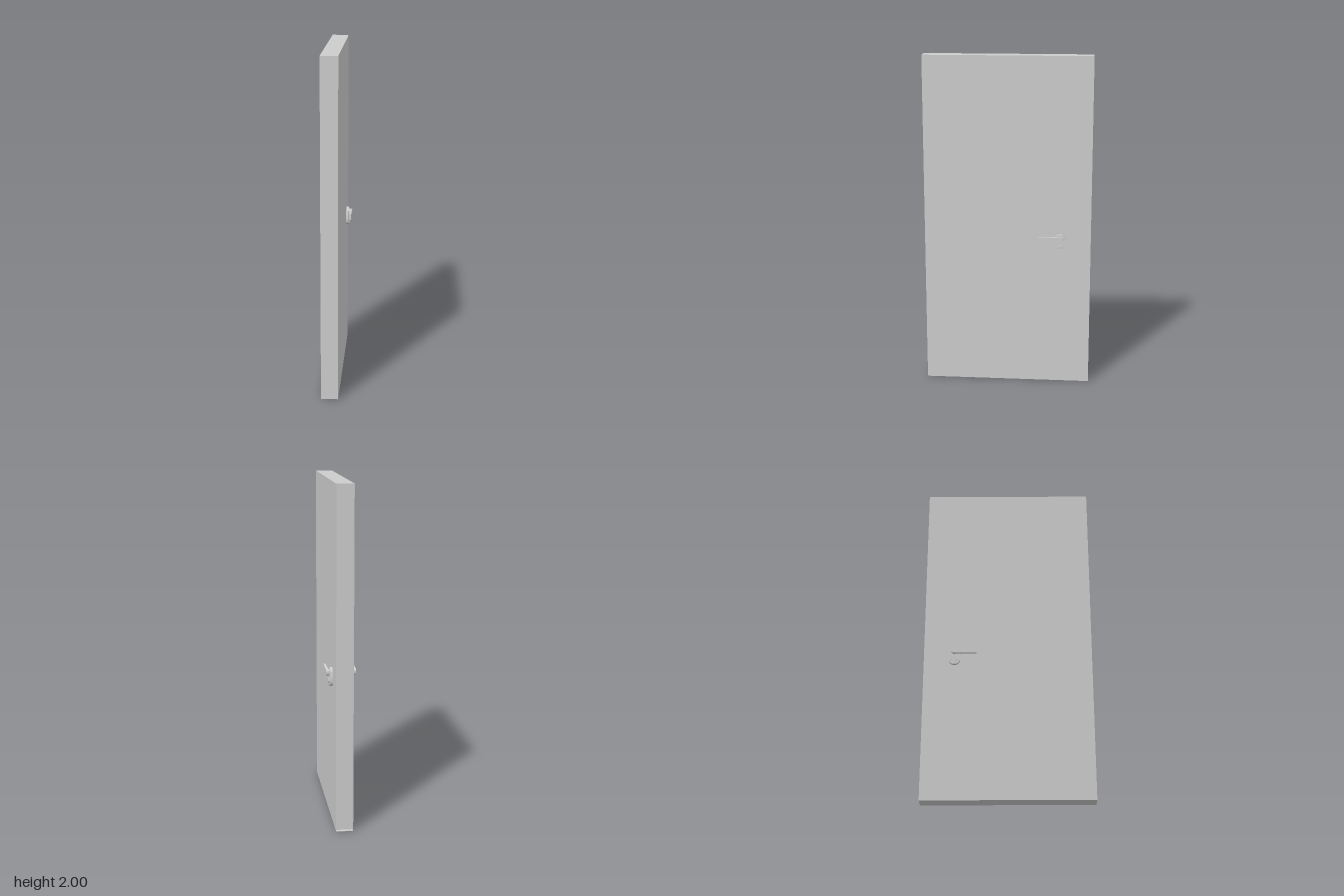
import * as THREE from 'three';
import { toCreasedNormals } from 'three/addons/utils/BufferGeometryUtils.js';

const material = new THREE.MeshStandardMaterial({ color: 0xcccccc });

// Door slab: rectangular loops from the front edge, round the thin rear lip, into the recessed rear edge
function doorGeometry() {
  const loops = [
    [0.05, 1, 0.5],
    [0.05, 1, -0.5],
    [0.048, 0.998, -0.5],
    [0.048, 0.998, -0.48],
  ];
  const positions = [];
  const index = [];
  for (const [w, h, z] of loops) {
    positions.push(-w, 1 - h, z, w, 1 - h, z, w, 1 + h, z, -w, 1 + h, z);
  }
  for (let i = 0; i < loops.length - 1; i++) {
    for (let j = 0; j < 4; j++) {
      const a = i * 4 + j, b = i * 4 + (j + 1) % 4;
      index.push(a, a + 4, b, b, a + 4, b + 4);
    }
  }
  const e = (loops.length - 1) * 4;
  index.push(0, 1, 2, 0, 2, 3, e, e + 2, e + 1, e, e + 3, e + 2);
  const g = new THREE.BufferGeometry();
  g.setAttribute('position', new THREE.Float32BufferAttribute(positions, 3));
  g.setIndex(index);
  const flat = g.toNonIndexed();
  flat.computeVertexNormals();
  return flat;
}

// Vertical rounded slot outline centred on x = 0
function stadium(radius, top, bottom) {
  const s = new THREE.Shape();
  s.absarc(0, top, radius, 0, Math.PI, false);
  s.absarc(0, bottom, radius, Math.PI, Math.PI * 2, false);
  s.closePath();
  return s;
}

// Outline drawn on the door face, extruded outwards from x = from to x = to
function plate(name, shape, from, to, side) {
  const g = new THREE.ExtrudeGeometry(shape, { depth: to - from, bevelEnabled: false, curveSegments: 24 });
  g.translate(0, 0, from);
  g.rotateY(side * Math.PI / 2);
  const mesh = new THREE.Mesh(toCreasedNormals(g, 0.6), material);
  mesh.name = name;
  return mesh;
}

function createHandle(side) {
  const group = new THREE.Group();
  group.name = side > 0 ? 'leftHandle' : 'rightHandle';

  const neck = new THREE.Shape().absarc(0, 0, 0.018, 0, Math.PI * 2, false);

  // Lever: round at the spindle, square at the grip end
  const d = -side;
  const lever = new THREE.Shape();
  lever.moveTo(d * 0.131, -0.019);
  lever.lineTo(d * 0.131, 0.019);
  lever.lineTo(0, 0.019);
  lever.absarc(0, 0, 0.019, Math.PI / 2, -Math.PI / 2, d > 0 ? false : true);
  lever.closePath();

  // Lock cylinder: round barrel with a narrow foot and a key slot
  const lock = new THREE.Shape();
  lock.absarc(0, -0.048, 0.016, -Math.PI * 0.33, Math.PI * 1.33, false);
  lock.lineTo(-0.008, -0.072);
  lock.absarc(0, -0.072, 0.008, Math.PI, Math.PI * 2, false);
  lock.closePath();
  const slot = new THREE.Path();
  slot.moveTo(-0.002, -0.056);
  slot.lineTo(-0.002, -0.04);
  slot.lineTo(0.002, -0.04);
  slot.lineTo(0.002, -0.056);
  slot.closePath();
  lock.holes.push(slot);

  group.add(
    plate('backplate', stadium(0.034, -0.004, -0.049), 0, 0.016, side),
    plate('neck', neck, 0.016, 0.024, side),
    plate('lever', lever, 0.023, 0.037, side),
    plate('lockCylinder', lock, 0.015, 0.022, side),
  );
  group.position.set(side * 0.05, 0.909, -0.318);
  return group;
}

export function createModel() {
  const model = new THREE.Group();
  model.name = 'door';
  const slab = new THREE.Mesh(doorGeometry(), material);
  slab.name = 'doorPanel';
  model.add(slab);
  for (const side of [1, -1]) model.add(createHandle(side));
  return model;
}
